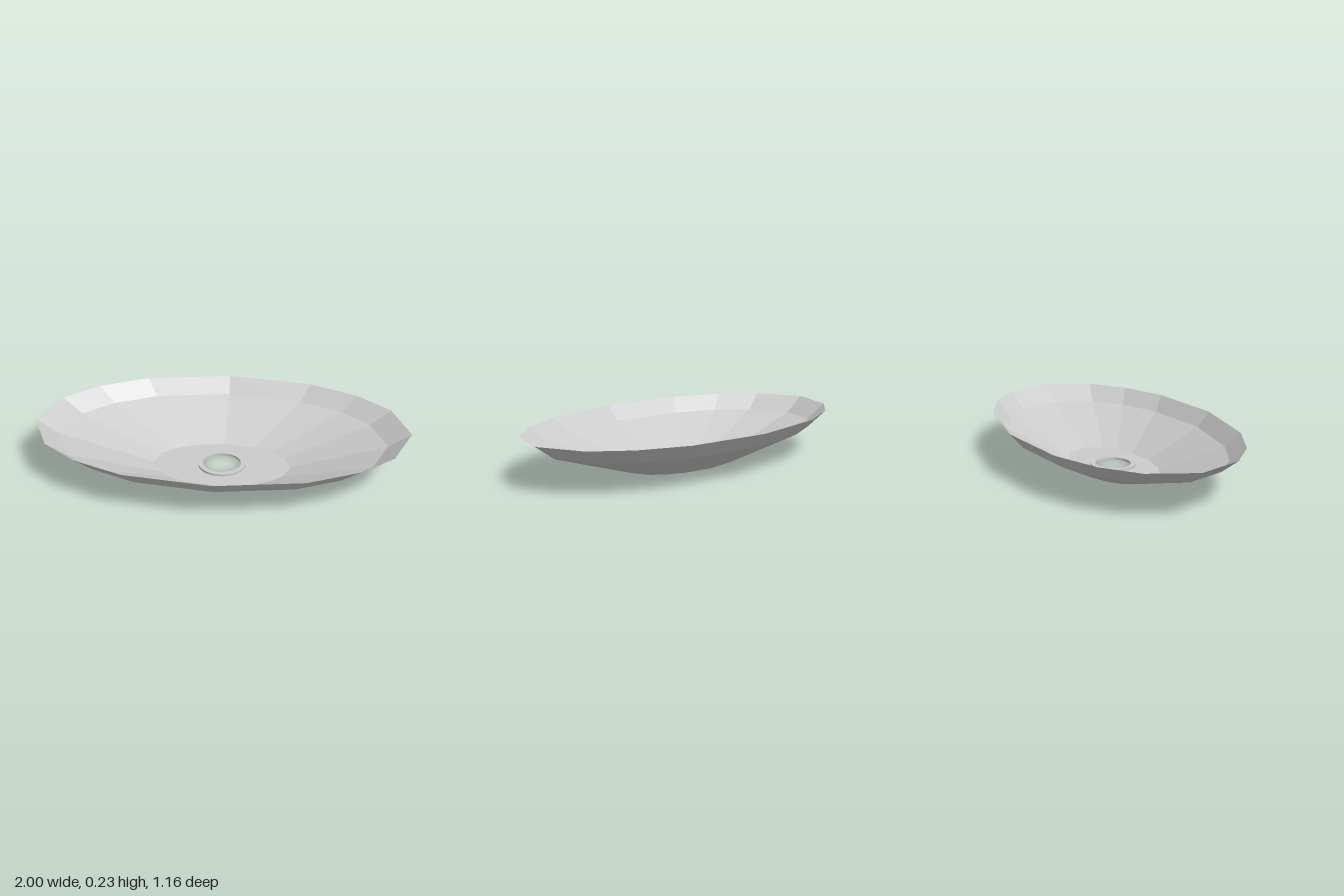
import * as THREE from 'three';

export function createModel() {
  const model = new THREE.Group();
  const material = new THREE.MeshStandardMaterial({
    color: 0xcccccc, flatShading: true, side: THREE.DoubleSide,
  });
  const add = (name, geometry) => {
    const mesh = new THREE.Mesh(geometry, material);
    mesh.name = name;
    model.add(mesh);
    return mesh;
  };

  // Sixteen-sided oval, mirrored from one quadrant
  const quadrant = [[1, 0], [0.9, 0.25], [0.72, 0.4], [0.46, 0.515], [0, 0.58]];
  const half = [...quadrant, ...quadrant.slice(0, 4).reverse().map(([x, z]) => [-x, z])];
  const oval = [...half, ...half.slice(1, 8).reverse().map(([x, z]) => [x, -z])];

  // Faceted wall between two scaled copies of the oval
  function band(s0, y0, s1, y1) {
    const positions = [], index = [], n = oval.length;
    for (const [s, y] of [[s0, y0], [s1, y1]]) {
      for (const [x, z] of oval) positions.push(x * s, y, z * s);
    }
    for (let i = 0; i < n; i++) {
      const j = (i + 1) % n;
      index.push(i, n + i, j, j, n + i, n + j);
    }
    const geometry = new THREE.BufferGeometry();
    geometry.setAttribute('position', new THREE.Float32BufferAttribute(positions, 3));
    geometry.setIndex(index);
    geometry.computeVertexNormals();
    return geometry;
  }
  add('bowlWall', band(0.37, 0, 0.88, 0.155));
  add('rimBand', band(0.88, 0.155, 1, 0.235));

  // Flat floor with the drain opening
  const ellipse = (rx, rz) => new THREE.Path().absellipse(0, 0, rx, rz, 0, Math.PI * 2);
  const floor = new THREE.Shape(oval.map(([x, z]) => new THREE.Vector2(x * 0.37, z * 0.37)));
  floor.holes.push(ellipse(0.128, 0.12));
  add('floor', new THREE.ShapeGeometry(floor, 16)).rotation.x = -Math.PI / 2;

  // Slightly raised ring around the drain
  const ring = new THREE.Shape(ellipse(0.128, 0.12).getPoints(16));
  ring.holes.push(ellipse(0.102, 0.094));
  add('drainRing', new THREE.ExtrudeGeometry(ring, {
    depth: 0.012, bevelEnabled: false, curveSegments: 16,
  })).rotation.x = -Math.PI / 2;

  return model;
}
